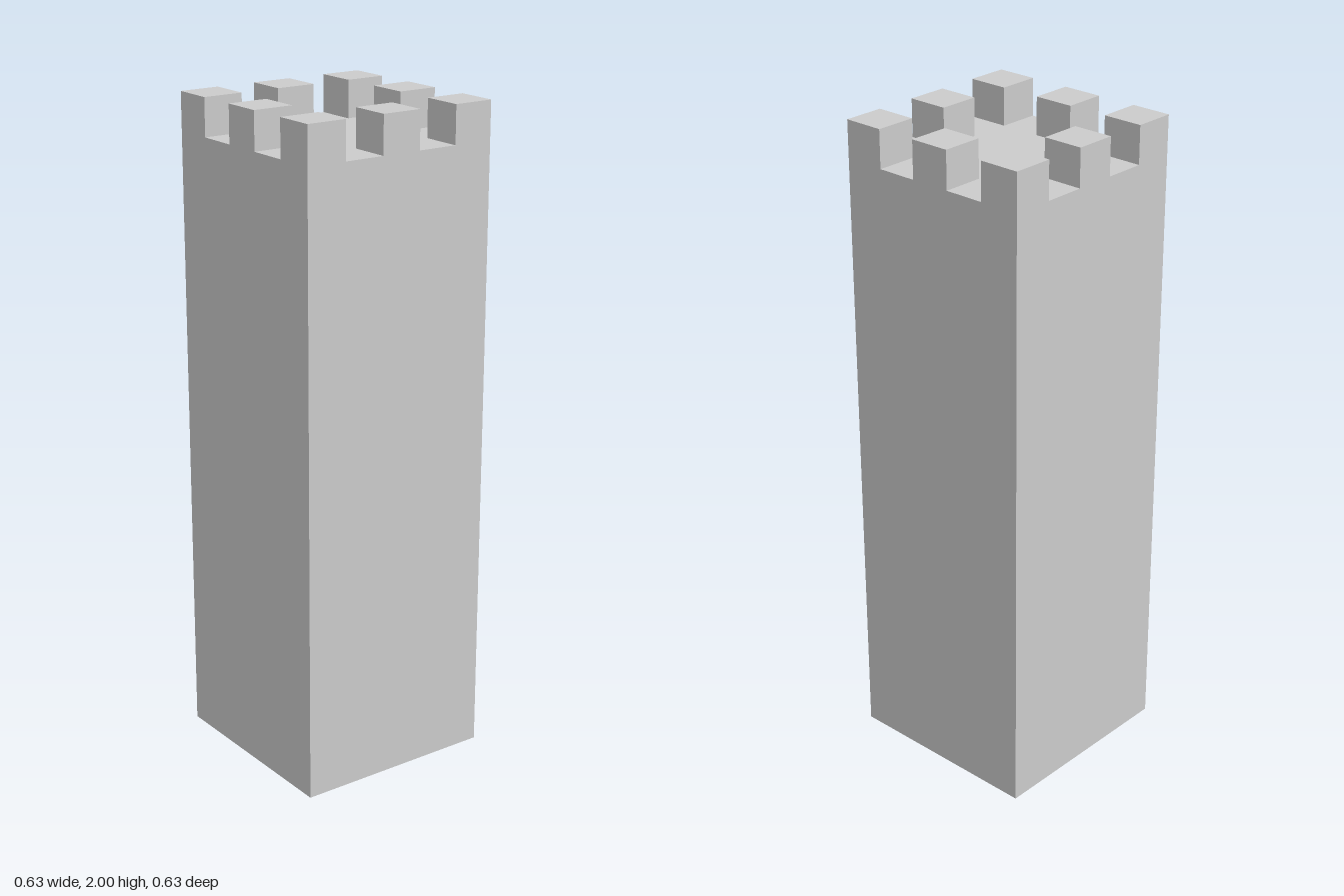
import * as THREE from 'three';

const WIDTH = 0.627;      // square tower side
const HEIGHT = 2;
const ROOF = 1.886;       // level of the flat roof
const CELL = WIDTH / 5;   // merlons and gaps share one width

export function createModel() {
  const tower = new THREE.Group();
  tower.name = 'tower';
  const material = new THREE.MeshStandardMaterial({ color: 0xcccccc, flatShading: true });

  function addBox(name, w, h, x, y, z) {
    const mesh = new THREE.Mesh(new THREE.BoxGeometry(w, h, w), material);
    mesh.name = name;
    mesh.position.set(x, y + h / 2, z);
    tower.add(mesh);
  }

  // Plain square shaft
  addBox('shaft', WIDTH, ROOF, 0, 0, 0);

  // Battlements: a merlon at each corner and in the middle of each side
  for (const i of [-1, 0, 1]) {
    for (const j of [-1, 0, 1]) {
      if (i === 0 && j === 0) continue;
      const name = i && j ? 'cornerMerlon' : 'sideMerlon';
      addBox(name, CELL, HEIGHT - ROOF, i * 2 * CELL, ROOF, j * 2 * CELL);
    }
  }
  return tower;
}
